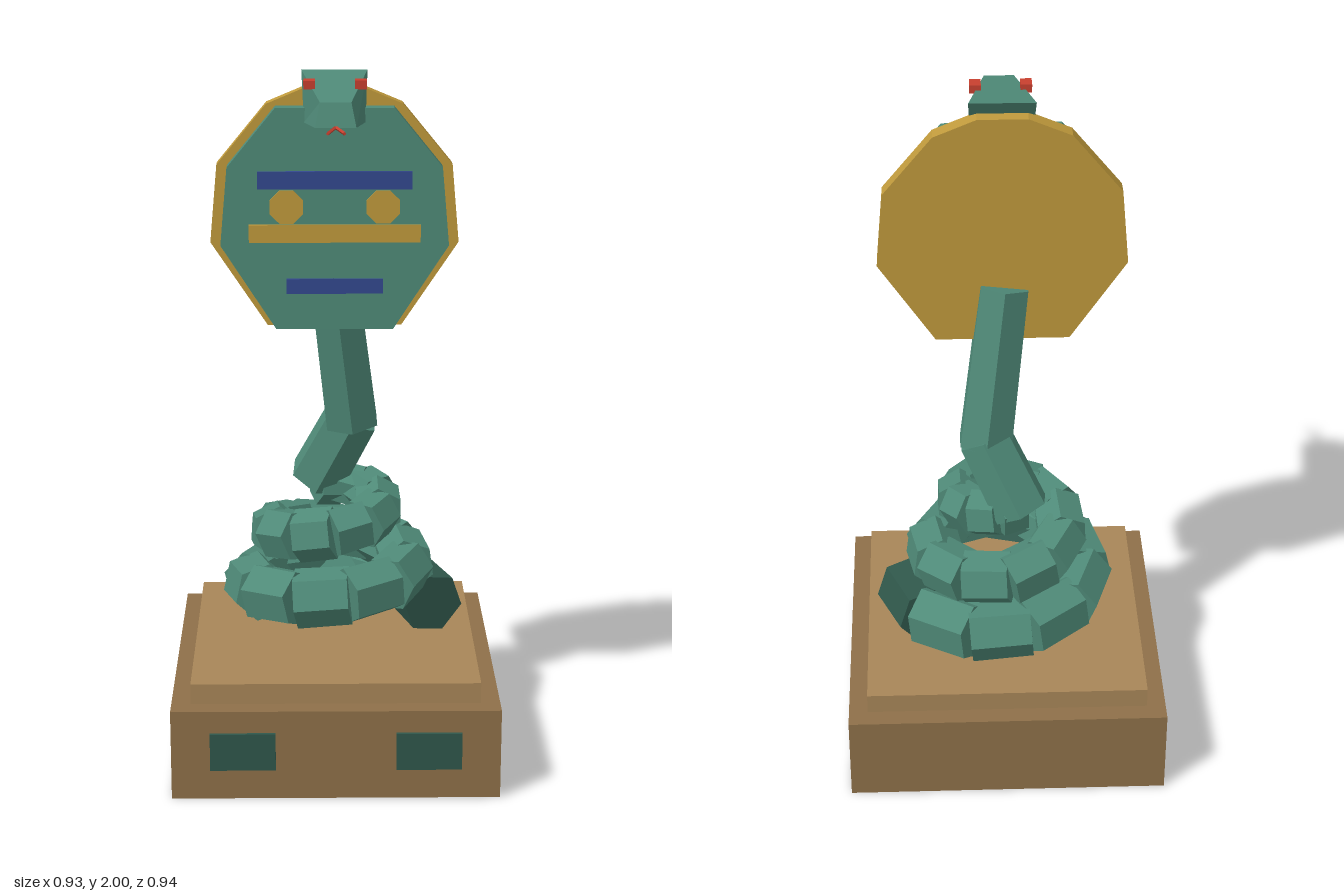
import * as THREE from 'three';

const mat = (color) => new THREE.MeshStandardMaterial({ color, flatShading: true });
const V = (x, y, z) => new THREE.Vector3(x, y, z);

export function createModel() {
  const root = new THREE.Group();
  const green = mat(0x4f8a78), darkGreen = mat(0x2f574b), gold = mat(0xc09a3c);
  const blue = mat(0x33488f), red = mat(0xc8402f), wood = mat(0x8e7049), lightWood = mat(0xa88658);

  const add = (name, geometry, material, x = 0, y = 0, z = 0, parent = root) => {
    const mesh = new THREE.Mesh(geometry, material);
    mesh.name = name;
    mesh.position.set(x, y, z);
    parent.add(mesh);
    return mesh;
  };
  const box = (name, w, h, d, material, x, y, z) =>
    add(name, new THREE.BoxGeometry(w, h, d), material, x, y, z);
  // Prism running between two points
  const link = (name, a, b, r0, r1, sides, material, parent = root) => {
    const dir = b.clone().sub(a);
    const mid = a.clone().add(b).multiplyScalar(0.5);
    const mesh = add(name, new THREE.CylinderGeometry(r1, r0, dir.length(), sides), material, mid.x, mid.y, mid.z, parent);
    mesh.quaternion.setFromUnitVectors(V(0, 1, 0), dir.normalize());
    return mesh;
  };
  // Symmetric plate from the right-hand half of its outline
  const plate = (name, half, z, depth, material) => {
    const pts = [...half, ...half.slice().reverse().map(([x, y]) => [-x, y])];
    const shape = new THREE.Shape(pts.map(([x, y]) => new THREE.Vector2(x, y)));
    add(name, new THREE.ExtrudeGeometry(shape, { depth, bevelEnabled: false }), material, 0, 0, z);
  };

  // Plinth
  box('plinth', 0.93, 0.265, 0.93, wood, 0, 0.1325, -0.005);
  box('plinthTop', 0.82, 0.06, 0.82, lightWood, 0, 0.295, -0.005);
  for (const s of [-1, 1]) box('plinthPanel', 0.185, 0.11, 0.02, darkGreen, s * 0.2625, 0.145, 0.46);

  // Coiled body: angle in quarter turns from the tail, [radius, height, thickness]
  const keys = [
    [0.29, 0.415, 0.095], [0.265, 0.44, 0.092], [0.245, 0.48, 0.088], [0.232, 0.52, 0.086],
    [0.215, 0.55, 0.084], [0.2, 0.58, 0.083], [0.178, 0.645, 0.08], [0.158, 0.69, 0.077],
    [0.132, 0.73, 0.074], [0.115, 0.76, 0.07], [0.08, 0.77, 0.07],
  ];
  const sample = (q) => {
    const i = Math.min(Math.floor(q), keys.length - 2), t = q - i;
    const [r, y, w] = keys[i].map((k, j) => k + (keys[i + 1][j] - k) * t);
    const a = q * Math.PI / 2;
    return { p: V(Math.cos(a) * r, y, -Math.sin(a) * r), w };
  };
  const coil = new THREE.Group();
  coil.name = 'coiledBody';
  root.add(coil);
  const count = 24, turns = 9.3;
  for (let i = 0; i < count; i++) {
    const a = sample(turns * i / count), b = sample(turns * (i + 1) / count);
    const overlap = b.p.clone().sub(a.p).multiplyScalar(0.06);
    link('coilSegment', a.p.clone().sub(overlap), b.p.clone().add(overlap), a.w, a.w * 0.97, 6,
      i === 0 ? darkGreen : green, coil);
  }

  // Neck
  link('lowerNeck', V(-0.05, 0.77, -0.115), V(0.055, 0.985, -0.05), 0.088, 0.083, 6, green);
  link('upperNeck', V(0.052, 0.96, -0.052), V(-0.005, 1.44, 0.03), 0.085, 0.077, 6, green);

  // Hood with its backing rim
  plate('hoodRim', [[0.19, 1.28], [0.35, 1.52], [0.33, 1.74], [0.19, 1.91], [0.07, 1.96]], 0.005, 0.05, gold);
  plate('hood', [[0.165, 1.28], [0.32, 1.52], [0.3, 1.74], [0.165, 1.905]], 0.055, 0.05, green);

  // Hood ornaments
  box('upperBand', 0.43, 0.05, 0.02, blue, 0, 1.705, 0.104);
  box('middleBand', 0.48, 0.05, 0.02, gold, 0, 1.555, 0.104);
  box('lowerBand', 0.27, 0.042, 0.02, blue, 0, 1.405, 0.104);
  for (const s of [-1, 1]) {
    const disc = add('hoodDisc', new THREE.CylinderGeometry(0.05, 0.05, 0.02, 8), gold, s * 0.135, 1.63, 0.104);
    disc.rotation.set(Math.PI / 2, Math.PI / 8, 0);
  }

  // Head: a box tapered towards the snout
  const headGeo = new THREE.BoxGeometry(2, 1, 1);
  const pos = headGeo.attributes.position;
  for (let i = 0; i < pos.count; i++) {
    const front = pos.getZ(i) > 0, top = pos.getY(i) > 0, s = Math.sign(pos.getX(i));
    if (front) pos.setXYZ(i, s * (top ? 0.042 : 0.055), top ? 1.95 : 1.885, top ? 0.315 : 0.335);
    else pos.setXYZ(i, s * (top ? 0.092 : 0.085), top ? 2.0 : 1.865, top ? 0.022 : 0.1);
  }
  headGeo.computeVertexNormals();
  add('head', headGeo, green);
  // Eyes and forked tongue
  for (const s of [-1, 1]) {
    box('eye', 0.032, 0.024, 0.042, red, s * 0.07, 1.98, 0.178);
    link('tongueFork', V(0, 1.885, 0.325), V(s * 0.022, 1.885, 0.435), 0.005, 0.005, 4, red);
  }
  return root;
}
